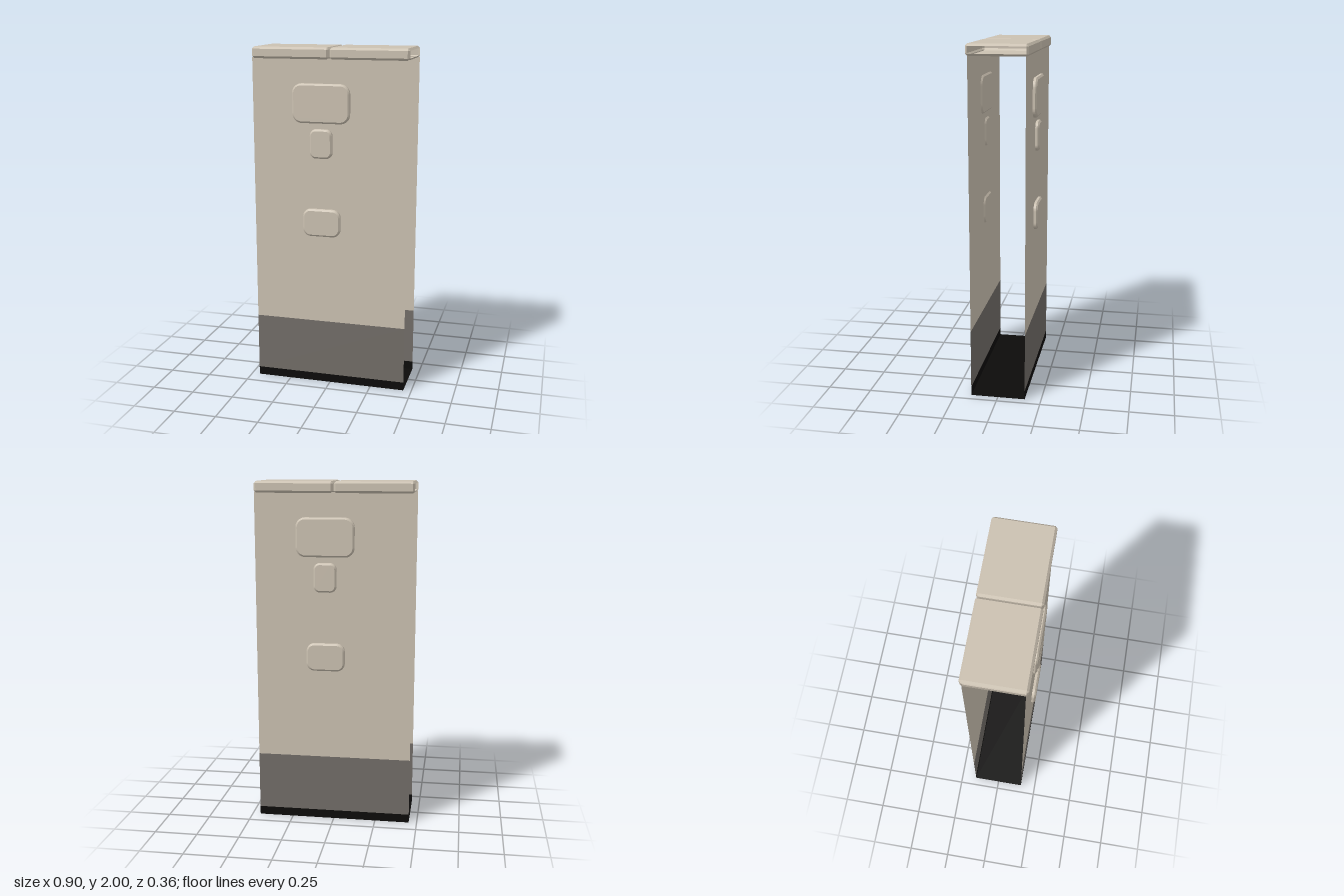
import * as THREE from 'three';

const mat = (name, color) => {
  const m = new THREE.MeshStandardMaterial({ color, side: THREE.DoubleSide });
  m.name = name;
  return m;
};

// Coping stone with chamfered edges, running along x and open at its outer end
function copingGeometry(x0, x1, h, d, b) {
  const ring = (x, inset) => {
    const y = h / 2, z = d / 2, k = inset ? b : 0; // inset rings shrink to a plain rectangle
    return [
      [y - k, -z + b], [y - k, z - b], [y - b, z - k], [-y + b, z - k],
      [-y + k, z - b], [-y + k, -z + b], [-y + b, -z + k], [y - b, -z + k],
    ].map(([py, pz]) => [x, py, pz]);
  };
  const rings = [ring(x0, true), ring(x0 + b, false), ring(x1 - b, false), ring(x1, true)];
  const pos = [];
  for (let i = 0; i < 3; i++) {
    for (let j = 0; j < 8; j++) {
      const n = (j + 1) % 8;
      const [p, q, r, s] = [rings[i][j], rings[i][n], rings[i + 1][n], rings[i + 1][j]];
      pos.push(...p, ...q, ...r, ...p, ...r, ...s);
    }
  }
  // inner end face
  const e = rings[0];
  for (let j = 1; j < 7; j++) pos.push(...e[0], ...e[j + 1], ...e[j]);
  const g = new THREE.BufferGeometry();
  g.setAttribute('position', new THREE.Float32BufferAttribute(pos, 3));
  g.computeVertexNormals();
  return g;
}

// Raised stone with rounded corners and a bevelled rim
function stoneGeometry(w, h, r) {
  const b = 0.01, x = w / 2 - b, y = h / 2 - b;
  const s = new THREE.Shape();
  s.moveTo(-x + r, -y);
  s.lineTo(x - r, -y);
  s.absarc(x - r, -y + r, r, -Math.PI / 2, 0);
  s.absarc(x - r, y - r, r, 0, Math.PI / 2);
  s.absarc(-x + r, y - r, r, Math.PI / 2, Math.PI);
  s.absarc(-x + r, -y + r, r, Math.PI, Math.PI * 1.5);
  return new THREE.ExtrudeGeometry(s, {
    depth: 0.014, bevelEnabled: true, bevelSize: b, bevelThickness: 0.009, bevelSegments: 1, curveSegments: 5,
  });
}

export function createModel() {
  const model = new THREE.Group();
  model.name = 'wallSection';
  const plaster = mat('plaster', 0xcbc1b1);
  const plinth = mat('plinthGrey', 0x726d68);
  const base = mat('baseBlack', 0x0c0b0a);

  const W = 0.905, Z = 0.156;
  const add = (parent, name, geo, material, x = 0, y = 0, z = 0) => {
    const m = new THREE.Mesh(geo, material);
    m.name = name;
    m.position.set(x, y, z);
    parent.add(m);
    return m;
  };

  // Painted bands of each wall face: name, bottom, top, colour
  const bands = [
    ['baseBand', 0, 0.05, base],
    ['plinthBand', 0.05, 0.39, plinth],
    ['wallPanel', 0.39, 1.94, plaster],
  ];
  // Raised stones: centre x, centre y, width, height, corner radius
  const stones = [
    [-0.047, 1.69, 0.335, 0.222, 0.045],
    [-0.047, 1.462, 0.13, 0.167, 0.025],
    [-0.045, 1.0, 0.222, 0.162, 0.036],
  ];

  // Front and back faces are the same piece turned half round
  ['frontFace', 'backFace'].forEach((name, i) => {
    const face = new THREE.Group();
    face.name = name;
    face.rotation.y = i * Math.PI;
    for (const [n, y0, y1, m] of bands)
      add(face, n, new THREE.PlaneGeometry(W, y1 - y0), m, 0, (y0 + y1) / 2, Z);
    for (const [x, y, w, h, r] of stones)
      add(face, 'raisedStone', stoneGeometry(w, h, r), plaster, x, y, 0.156);
    model.add(face);
  });

  // Floor closing the bottom
  add(model, 'floor', new THREE.PlaneGeometry(W, Z * 2), base).rotation.x = Math.PI / 2;

  // Two coping stones on top
  const coping = copingGeometry(0.002, 0.4525, 0.065, 0.338, 0.012);
  add(model, 'copingLeft', coping, plaster, 0, 1.9675, 0);
  add(model, 'copingRight', coping, plaster, 0, 1.9675, 0).rotation.y = Math.PI;

  return model;
}
